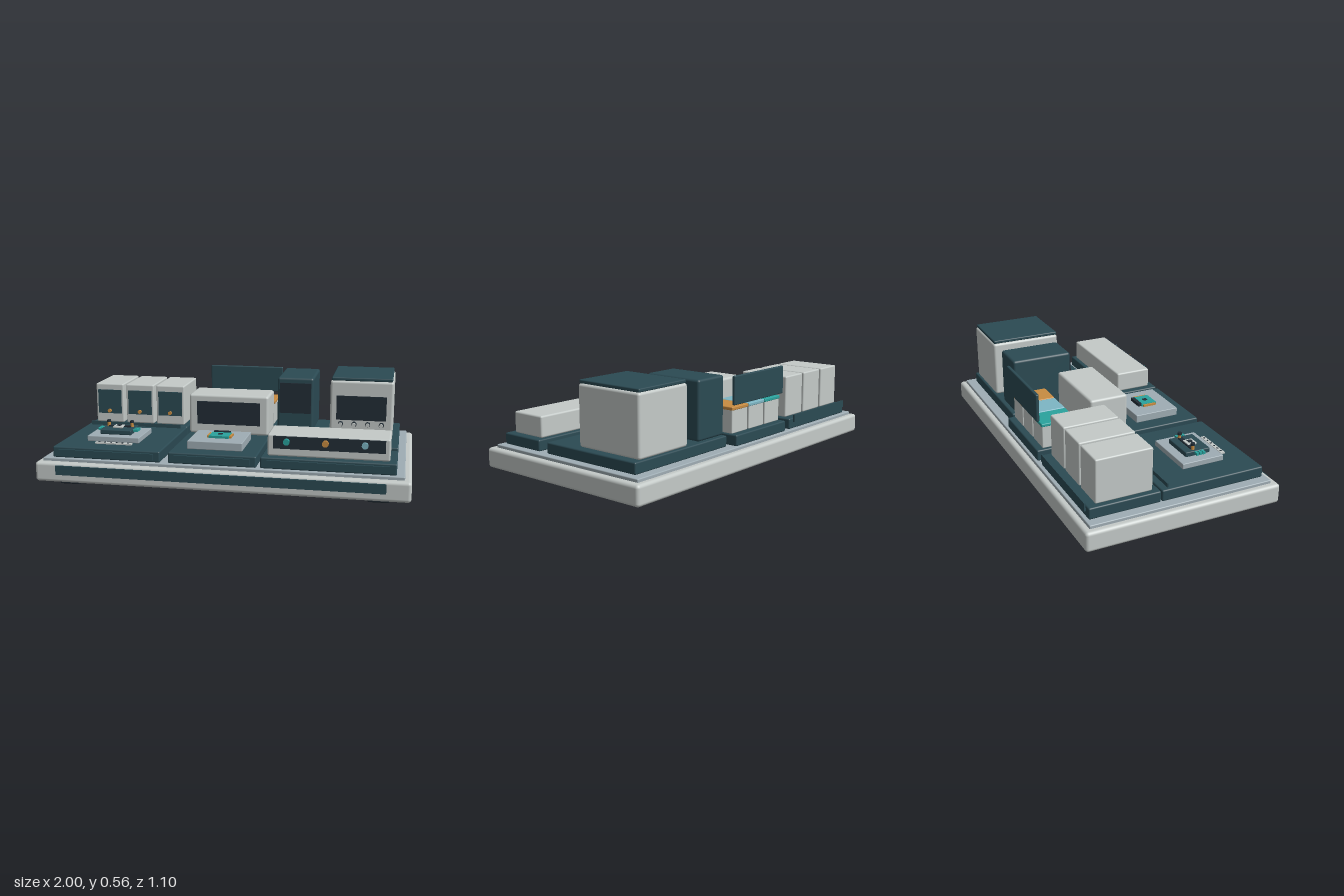
import * as THREE from 'three';
import { RoundedBoxGeometry } from 'three/addons/geometries/RoundedBoxGeometry.js';

const mat = (name, hex) => {
  const m = new THREE.MeshStandardMaterial({ color: hex });
  m.name = name;
  return m;
};

export function createModel() {
  const M = {
    shell: mat('pale grey shell', 0xc4cac8),
    deck: mat('blue grey deck', 0x9fadb4),
    slate: mat('dark teal slate', 0x2b4a53),
    dark: mat('near black', 0x222d36),
    teal: mat('teal', 0x2aa39e),
    sky: mat('light blue', 0x7db6c4),
    orange: mat('orange', 0xc88c42),
  };
  const root = new THREE.Group();
  root.name = 'workstation';

  const group = (name) => {
    const g = new THREE.Group();
    g.name = name;
    root.add(g);
    return g;
  };
  // box given by its limits on each axis; r > 0 rounds the edges
  const box = (parent, name, m, x0, x1, y0, y1, z0, z1, r = 0) => {
    const w = x1 - x0, h = y1 - y0, d = z1 - z0;
    const geo = r ? new RoundedBoxGeometry(w, h, d, 3, r) : new THREE.BoxGeometry(w, h, d);
    const mesh = new THREE.Mesh(geo, m);
    mesh.name = name;
    mesh.position.set((x0 + x1) / 2, (y0 + y1) / 2, (z0 + z1) / 2);
    parent.add(mesh);
    return mesh;
  };
  // cylinder with its axis along y, or along z for front knobs
  const cyl = (parent, name, m, r, len, x, y, z, alongZ = false) => {
    const mesh = new THREE.Mesh(new THREE.CylinderGeometry(r, r, len, 20), m);
    mesh.name = name;
    mesh.position.set(x, y, z);
    if (alongZ) mesh.rotation.x = Math.PI / 2;
    parent.add(mesh);
    return mesh;
  };

  // base slab, deck, front stripe and feet
  const base = group('base');
  box(base, 'baseSlab', M.shell, -1, 1, 0.037, 0.145, -0.547, 0.541, 0.018);
  box(base, 'deckPlate', M.deck, -0.967, 0.965, 0.14, 0.162, -0.514, 0.503, 0.005);
  box(base, 'frontStripe', M.slate, -0.88, 0.875, 0.081, 0.132, 0.54, 0.549);
  for (const x of [-0.842, 0.836])
    for (const z of [-0.394, 0.386])
      box(base, 'foot', M.dark, x - 0.058, x + 0.058, 0, 0.045, z - 0.058, z + 0.058, 0.008);

  // plinths with a thin trim along the front
  const plinths = group('plinths');
  const plinth = (name, x0, x1, z0, z1, trim = true) => {
    box(plinths, name, M.slate, x0, x1, 0.16, 0.221, z0, z1, 0.008);
    if (trim) box(plinths, name + 'Trim', M.slate, x0 + 0.035, x1 - 0.035, 0.175, 0.208, z1, z1 + 0.01);
  };
  plinth('storagePlinth', -0.917, -0.316, -0.495, -0.108, false);
  plinth('leftPlinth', -0.917, -0.316, -0.102, 0.482);
  plinth('binPlinth', -0.268, 0.192, -0.5, -0.243, false);
  plinth('centrePlinth', -0.272, 0.203, -0.18, 0.482);
  plinth('ovenPlinth', 0.224, 0.923, -0.46, 0.153);
  plinth('consolePlinth', 0.224, 0.923, 0.212, 0.482);
  // raised lips before and behind the storage units
  for (const z of [-0.505, -0.06])
    box(plinths, 'storageLip', M.slate, -0.895, -0.345, 0.2, 0.242, z - 0.004, z + 0.004);

  // three storage units
  const storage = group('storageUnits');
  for (const x of [-0.805, -0.616, -0.428]) {
    box(storage, 'storageBody', M.shell, x - 0.086, x + 0.086, 0.221, 0.456, -0.45, -0.143, 0.008);
    box(storage, 'storageWindow', M.slate, x - 0.072, x + 0.072, 0.276, 0.42, -0.144, -0.136);
    cyl(storage, 'storageKnob', M.orange, 0.011, 0.014, x, 0.293, -0.13, true);
  }

  // left work plate with a small stage device
  const stage = group('stageDevice');
  box(stage, 'stagePlate', M.deck, -0.773, -0.476, 0.221, 0.252, 0.094, 0.335, 0.004);
  box(stage, 'stageBody', M.slate, -0.716, -0.536, 0.252, 0.279, 0.143, 0.287, 0.005);
  box(stage, 'stageRail', M.dark, -0.69, -0.562, 0.279, 0.286, 0.185, 0.21);
  box(stage, 'stageBlock', M.shell, -0.655, -0.6, 0.279, 0.29, 0.19, 0.244, 0.003);
  box(stage, 'stageBore', M.dark, -0.638, -0.616, 0.29, 0.294, 0.205, 0.229);
  for (const s of [-1, 1]) {
    const x = -0.626 + s * 0.068;
    cyl(stage, 'stagePost', M.orange, 0.009, 0.03, x, 0.29, 0.195);
    cyl(stage, 'stageCap', M.dark, 0.012, 0.012, x, 0.309, 0.195);
    for (let i = 0; i < 3; i++) {
      const cx = -0.626 + s * 0.1, z = 0.2 + i * 0.019;
      box(stage, 'stageFin', M.teal, cx - 0.015, cx + 0.015, 0.263, 0.277, z - 0.007, z + 0.007);
    }
  }
  box(stage, 'indicatorStrip', M.shell, -0.712, -0.504, 0.22, 0.229, 0.36, 0.384);
  for (let i = 0; i < 6; i++) {
    const x = -0.69 + i * 0.033;
    box(stage, 'indicatorMark', M.dark, x - 0.004, x + 0.004, 0.229, 0.231, 0.367, 0.377);
  }

  // centre work plate with a chip clamp
  const clamp = group('chipClamp');
  box(clamp, 'clampPlate', M.deck, -0.188, 0.113, 0.221, 0.266, 0.133, 0.394, 0.004);
  box(clamp, 'clampBlock', M.teal, -0.088, 0.022, 0.266, 0.279, 0.217, 0.31);
  box(clamp, 'clampBar', M.dark, -0.08, 0.014, 0.266, 0.284, 0.199, 0.219);
  box(clamp, 'clampHole', M.dark, -0.045, -0.021, 0.279, 0.282, 0.253, 0.276);
  for (const x of [-0.094, 0.028])
    box(clamp, 'clampSide', M.orange, x - 0.006, x + 0.006, 0.266, 0.277, 0.225, 0.302);

  // centre cabinet with window
  const cabinet = group('centreCabinet');
  box(cabinet, 'cabinetBody', M.shell, -0.265, 0.193, 0.221, 0.448, -0.187, 0.033, 0.014);
  box(cabinet, 'cabinetWindow', M.dark, -0.217, 0.147, 0.279, 0.41, 0.033, 0.042);

  // three bins with coloured lids and the upright panel behind them
  const bins = group('bins');
  [M.teal, M.sky, M.orange].forEach((m, i) => {
    const x = -0.184 + i * 0.149;
    box(bins, 'binBody', M.shell, x - 0.068, x + 0.068, 0.221, 0.35, -0.462, -0.275, 0.005);
    box(bins, 'binLid', m, x - 0.072, x + 0.072, 0.346, 0.365, -0.466, -0.27, 0.005);
  });
  box(bins, 'backPanel', M.slate, -0.25, 0.201, 0.38, 0.535, -0.491, -0.473, 0.006);

  // tower with screen
  const tower = group('tower');
  box(tower, 'towerBody', M.slate, 0.226, 0.434, 0.221, 0.54, -0.44, -0.092, 0.014);
  box(tower, 'towerScreen', M.dark, 0.24, 0.42, 0.335, 0.51, -0.093, -0.084);

  // oven with lid, window and knobs
  const oven = group('oven');
  box(oven, 'ovenBody', M.shell, 0.533, 0.885, 0.221, 0.541, -0.452, -0.045, 0.014);
  box(oven, 'ovenLid', M.slate, 0.54, 0.878, 0.541, 0.56, -0.447, -0.048, 0.006);
  box(oven, 'ovenWindow', M.dark, 0.57, 0.848, 0.32, 0.457, -0.045, -0.036);
  for (let i = 0; i < 4; i++) {
    const x = 0.595 + i * 0.076;
    cyl(oven, 'ovenKnob', M.dark, 0.014, 0.02, x, 0.297, -0.035, true);
    cyl(oven, 'ovenKnobCap', M.shell, 0.011, 0.012, x, 0.297, -0.019, true);
  }

  // front console with three buttons
  const desk = group('console');
  box(desk, 'consoleBody', M.shell, 0.256, 0.887, 0.221, 0.337, 0.231, 0.444, 0.01);
  box(desk, 'consolePanel', M.dark, 0.287, 0.863, 0.264, 0.33, 0.444, 0.453);
  [M.teal, M.orange, M.sky].forEach((m, i) =>
    cyl(desk, 'consoleButton', m, 0.017, 0.016, 0.357 + i * 0.201, 0.303, 0.461, true));

  return root;
}
